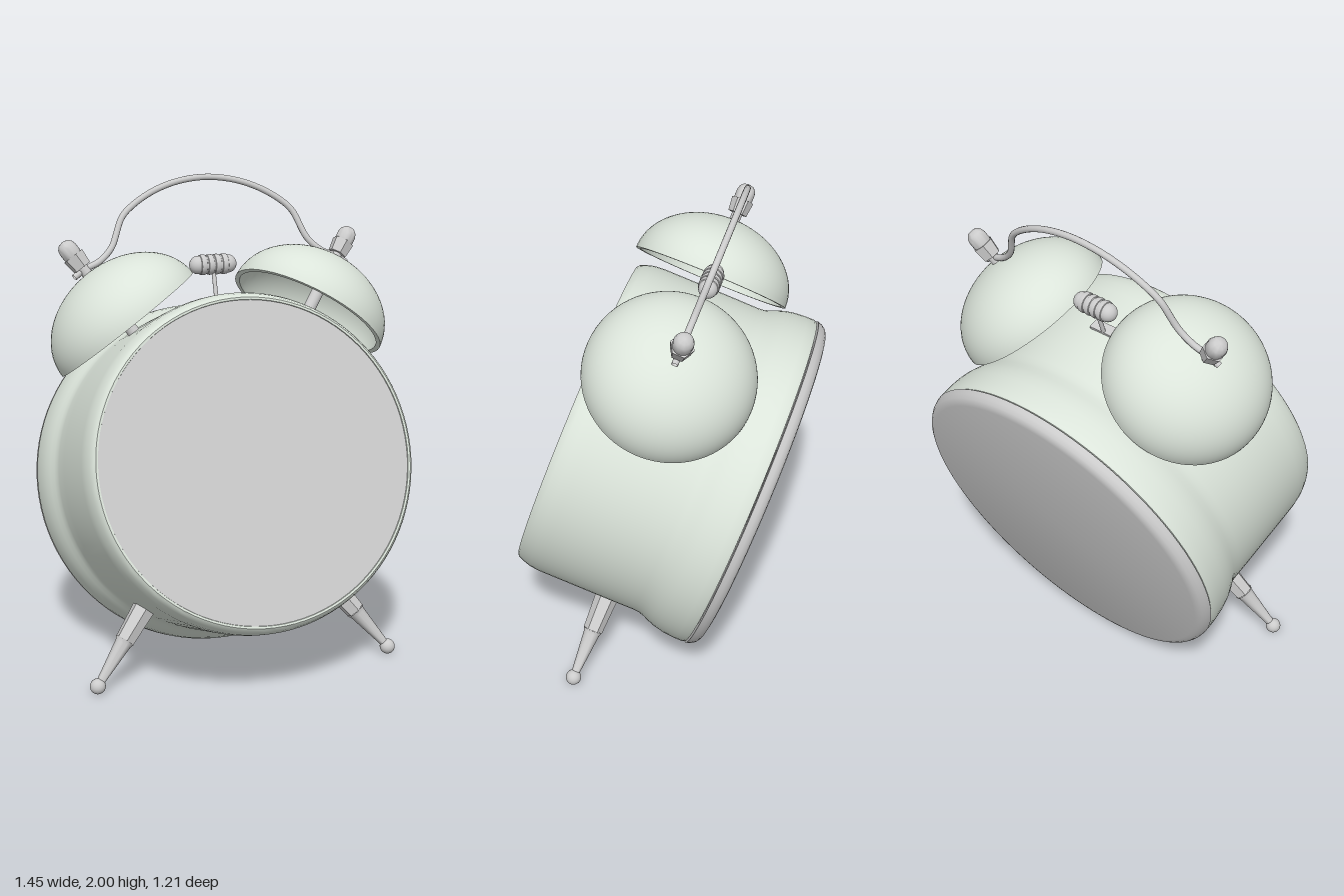
import * as THREE from 'three';
import { toCreasedNormals } from 'three/addons/utils/BufferGeometryUtils.js';

const grey = new THREE.MeshStandardMaterial({ color: 0xcccccc, side: THREE.DoubleSide });
const paint = new THREE.MeshStandardMaterial({ color: 0xdbe4da, side: THREE.DoubleSide });

// Names a mesh and adds it to its parent
function add(parent, name, geometry, material, x = 0, y = 0, z = 0) {
  const mesh = new THREE.Mesh(geometry, material);
  mesh.name = name;
  mesh.position.set(x, y, z);
  parent.add(mesh);
  return mesh;
}

// Turned part from [radius, height] pairs, with sharp corners kept
function turned(points, segments = 96, crease = 0.6) {
  const profile = points.map(([r, h]) => new THREE.Vector2(r, h));
  return toCreasedNormals(new THREE.LatheGeometry(profile, segments), crease);
}

// Bell with its post and finial; y is the bell's own axis
function makeBell(side) {
  const bell = new THREE.Group();
  bell.name = side > 0 ? 'leftBell' : 'rightBell';
  bell.position.set(side * 0.39, 0.61, 0.53);
  bell.rotation.z = -side * 0.596;
  const R = 0.337, H = 0.26, wall = 0.02, n = 24;
  const dome = [];
  for (let i = 0; i <= n; i++) {
    const a = (i / n) * Math.PI / 2;
    dome.push([R * Math.cos(a), H * Math.sin(a)]);
  }
  for (let i = n; i >= 0; i--) {
    const a = (i / n) * Math.PI / 2;
    dome.unshift([(R - wall) * Math.cos(a), (H - wall) * Math.sin(a)]);
  }
  // inner wall runs apex to rim, then the outer wall rim to apex
  const inner = dome.slice(0, n + 1).reverse();
  add(bell, 'bellShell', turned([...inner, ...dome.slice(n + 1)], 64), paint);
  add(bell, 'bellPost', new THREE.CylinderGeometry(0.026, 0.026, 0.34, 24), grey, 0, 0.085, 0);
  add(bell, 'finialStem', new THREE.CylinderGeometry(0.022, 0.022, 0.06, 24), grey, 0, 0.27, 0);
  add(bell, 'finialNut', toCreasedNormals(new THREE.CylinderGeometry(0.047, 0.04, 0.06, 6), 0.4), grey, 0, 0.32, 0);
  add(bell, 'finialCap', turned([[0.036, 0.345], [0.039, 0.355], [0.039, 0.385],
    [0.034, 0.402], [0.022, 0.415], [0, 0.42]], 24, 0.9), grey);
  return bell;
}

// Foot pointing outwards from the case along its own y
function makeFoot(side) {
  const foot = new THREE.Group();
  foot.name = side > 0 ? 'leftFoot' : 'rightFoot';
  foot.position.z = 0.422;
  foot.rotation.z = side * (Math.PI - 0.655) * -1;
  add(foot, 'footSocket', toCreasedNormals(new THREE.CylinderGeometry(0.041, 0.05, 0.18, 6), 0.4), grey, 0, 0.74, 0);
  add(foot, 'footTaper', turned([[0.041, 0.83], [0.034, 0.845], [0.017, 1.02]], 24), grey);
  add(foot, 'footBall', new THREE.SphereGeometry(0.032, 24, 16), grey, 0, 1.043, 0);
  return foot;
}

export function createModel() {
  const model = new THREE.Group();
  model.name = 'alarmClock';

  // Whole clock leans back; local z is the axis of the case, 0 at its back
  const clock = new THREE.Group();
  clock.name = 'clock';
  clock.position.set(0, 0.68, -0.385);
  clock.rotation.x = -0.326;
  model.add(clock);

  // Case: straight drum flaring to a wider back, rolled lip in front
  const drum = turned([
    [0.7, 0.052], [0.722, 0.054], [0.727, 0.065], [0.727, 0.1], [0.723, 0.15], [0.715, 0.19],
    [0.703, 0.225], [0.692, 0.25], [0.685, 0.275], [0.683, 0.3], [0.684, 0.4], [0.684, 0.72],
    [0.68, 0.765], [0.67, 0.8], [0.66, 0.822], [0.652, 0.829], [0.643, 0.828], [0.64, 0.815],
  ]);
  add(clock, 'case', drum.rotateX(Math.PI / 2).scale(1, 1, 1), paint);
  const cover = turned([[0, 0], [0.68, 0], [0.698, 0.004], [0.711, 0.013], [0.721, 0.028],
    [0.727, 0.048], [0.7, 0.05]]);
  add(clock, 'backCover', cover.rotateX(Math.PI / 2), grey);
  add(clock, 'face', new THREE.CircleGeometry(0.642, 96), grey, 0, 0, 0.823);

  for (const side of [1, -1]) clock.add(makeBell(side), makeFoot(side));

  // Carrying handle, clamped under the finials at both ends
  const half = [[0.59, 0.812], [0.547, 0.842], [0.48, 0.872], [0.425, 0.925], [0.37, 1.045],
    [0.325, 1.09], [0.23, 1.148], [0.12, 1.186]];
  const path = [...half.map(([x, y]) => [-x, y]), [0, 1.2], ...half.slice().reverse()];
  const curve = new THREE.CatmullRomCurve3(path.map(([x, y]) => new THREE.Vector3(x, y, 0.53)));
  add(clock, 'handle', new THREE.TubeGeometry(curve, 120, 0.013, 12), grey);

  // Hammer: ribbed capsule on a thin stem with a foot in the case
  const hammer = new THREE.Group();
  hammer.name = 'hammer';
  hammer.position.set(0, 0.836, 0.523);
  clock.add(hammer);
  add(hammer, 'hammerHead', new THREE.CapsuleGeometry(0.038, 0.126, 8, 24), grey).rotation.z = Math.PI / 2;
  for (const x of [-0.046, -0.015, 0.015, 0.046]) {
    const rib = turned([[0.036, -0.014], [0.041, -0.011], [0.043, 0], [0.041, 0.011], [0.036, 0.014]], 24);
    add(hammer, 'hammerRib', rib, grey, x, 0, 0).rotation.z = Math.PI / 2;
  }
  add(hammer, 'hammerStem', new THREE.CylinderGeometry(0.009, 0.009, 0.16, 12), grey, 0, -0.08, 0);
  add(hammer, 'hammerFoot', new THREE.BoxGeometry(0.13, 0.02, 0.045), grey, 0, -0.152, 0.015);

  return model;
}
